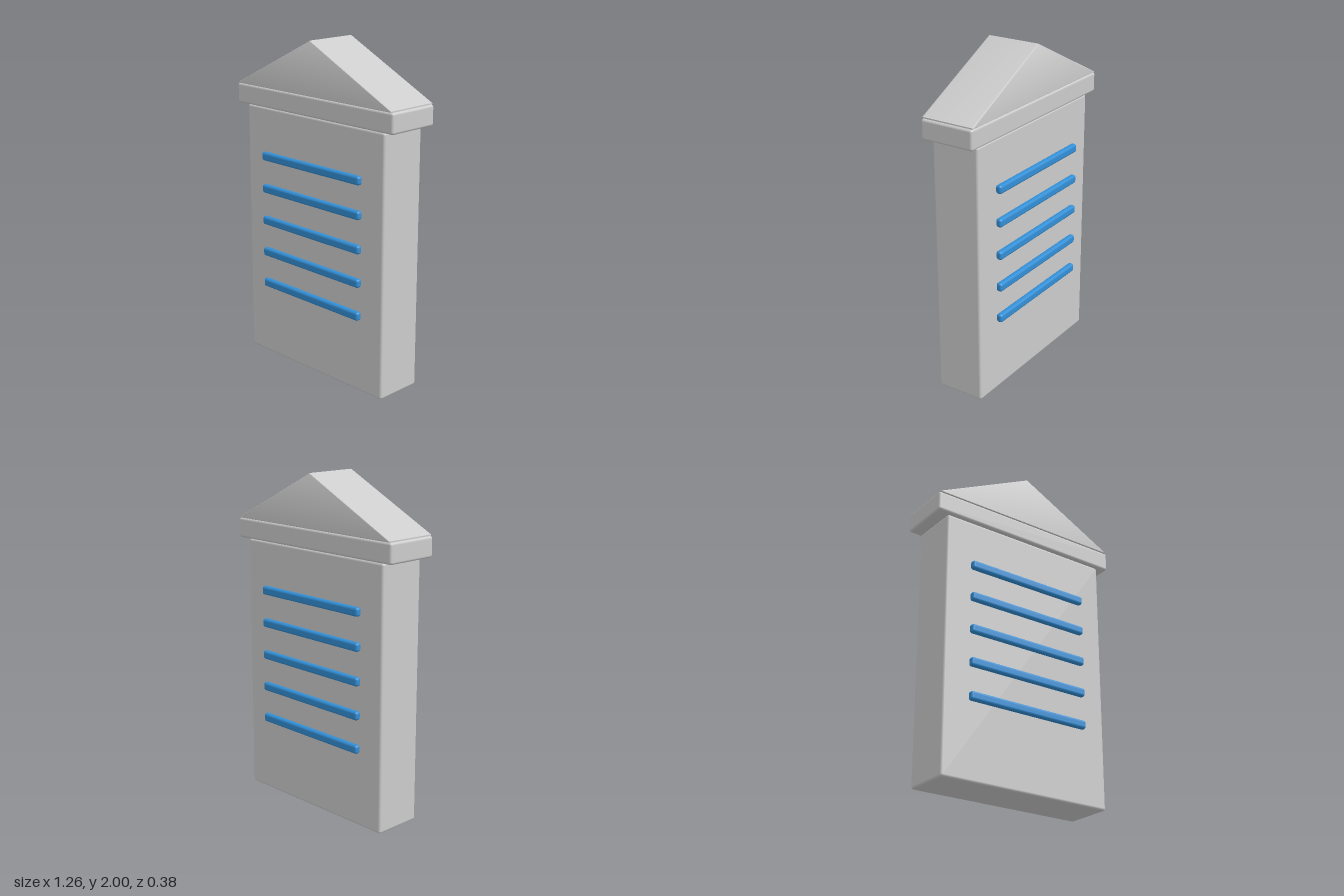
import * as THREE from 'three';
import { RoundedBoxGeometry } from 'three/addons/geometries/RoundedBoxGeometry.js';
import { toCreasedNormals } from 'three/addons/utils/BufferGeometryUtils.js';

export function createModel() {
  const stone = new THREE.MeshStandardMaterial({ color: 0xcccccc });
  stone.name = 'lightGrey';
  const blue = new THREE.MeshStandardMaterial({ color: 0x338fd6 });
  blue.name = 'blue';

  const model = new THREE.Group();
  model.name = 'gabledPanel';

  const box = (name, w, h, d, r, y, z, material, parent = model) => {
    const mesh = new THREE.Mesh(new RoundedBoxGeometry(w, h, d, 3, r), material);
    mesh.name = name;
    mesh.position.set(0, y, z);
    parent.add(mesh);
  };

  // Upright slab and the ledge on top of it
  box('body', 1.114, 1.565, 0.3, 0.015, 0.7825, 0, stone);
  box('cornice', 1.258, 0.12, 0.334, 0.015, 1.626, 0, stone);

  // Triangular gable with softened front and back edges
  const bevel = 0.01;
  const depth = 0.334 - 2 * bevel;
  const gable = new THREE.Shape();
  gable.moveTo(-0.617, 1.685);
  gable.lineTo(0.617, 1.685);
  gable.lineTo(0.617, 1.693);
  gable.lineTo(0, 2);
  gable.lineTo(-0.617, 1.693);
  gable.closePath();
  const roofGeometry = new THREE.ExtrudeGeometry(gable, {
    depth, bevelEnabled: true, bevelThickness: bevel, bevelSize: bevel * 0.5,
    bevelOffset: -bevel * 0.5, bevelSegments: 3,
  });
  roofGeometry.translate(0, 0, -depth / 2);
  const roof = new THREE.Mesh(toCreasedNormals(roofGeometry, 0.6), stone);
  roof.name = 'roof';
  model.add(roof);

  // Five horizontal bars on both the front and the back
  for (const side of [1, -1]) {
    const bars = new THREE.Group();
    bars.name = side > 0 ? 'frontBars' : 'backBars';
    for (let i = 0; i < 5; i++) {
      box(`bar${i + 1}`, 0.8, 0.052, 0.038, 0.015, 0.475 + i * 0.2, side * 0.169, blue, bars);
    }
    model.add(bars);
  }
  return model;
}
